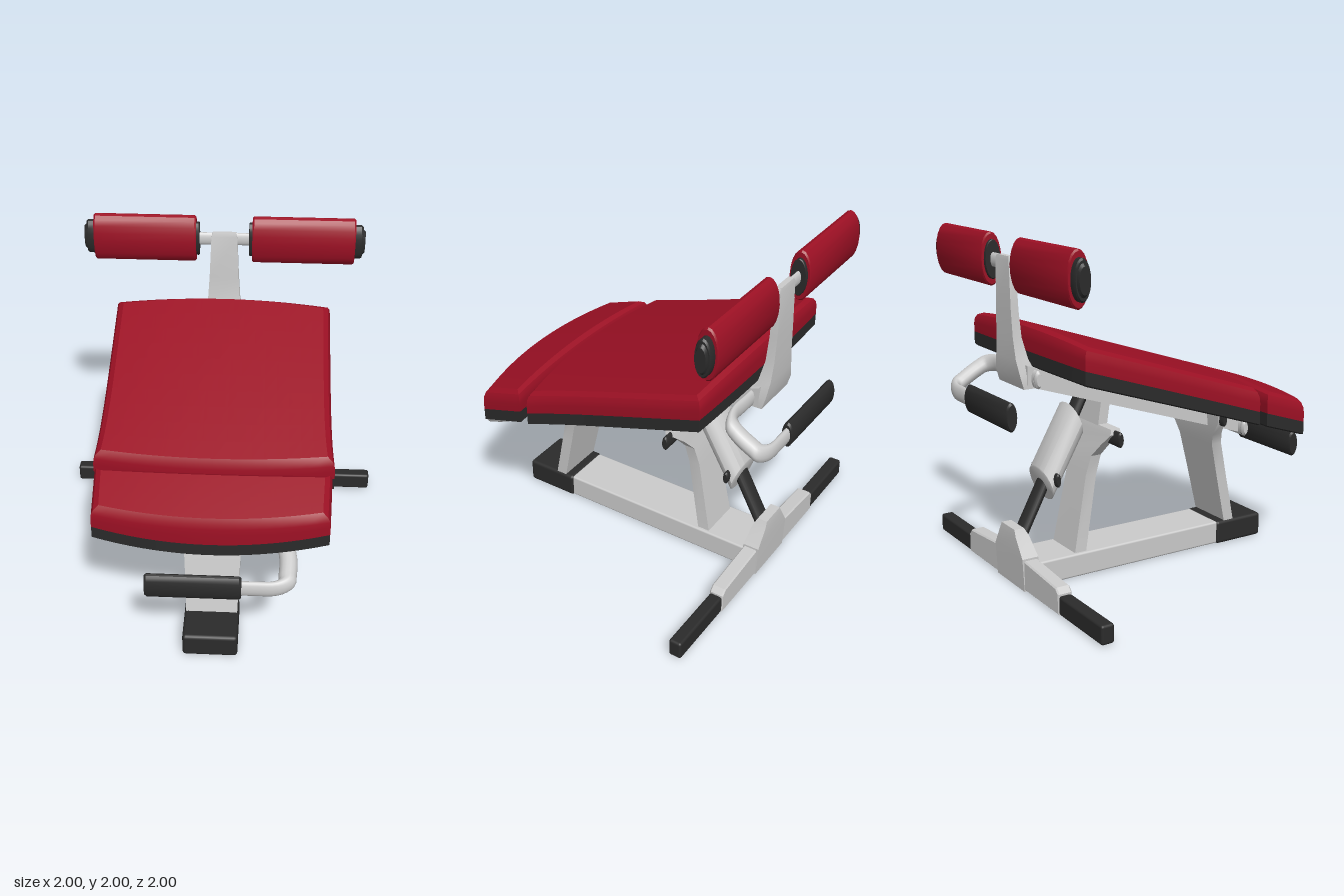
import * as THREE from 'three';
import { toCreasedNormals } from 'three/addons/utils/BufferGeometryUtils.js';
import { RoundedBoxGeometry } from 'three/addons/geometries/RoundedBoxGeometry.js';

const steel = new THREE.MeshStandardMaterial({ color: 0xcccccc });
const black = new THREE.MeshStandardMaterial({ color: 0x2b2b2b });
const red = new THREE.MeshStandardMaterial({ color: 0x9c1024 });

const SQUASH = 0.43; // round parts are narrower along z
const seatLine = (z) => 0.89 + (0.49 - z) * 0.325; // underside of the pads

export function createModel() {
  const model = new THREE.Group();

  const add = (name, geometry, material) => {
    const mesh = new THREE.Mesh(geometry, material);
    mesh.name = name;
    model.add(mesh);
    return mesh;
  };

  // Move every vertex by a rule, then rebuild the normals with sharp edges
  const reshape = (geometry, rule, crease = 0.5) => {
    const p = geometry.attributes.position;
    for (let i = 0; i < p.count; i++) p.setXYZ(i, ...rule(p.getX(i), p.getY(i), p.getZ(i)));
    return toCreasedNormals(geometry, crease);
  };

  const block = (name, material, x0, x1, y0, y1, z0, z1, r = 0.012) => {
    const g = new RoundedBoxGeometry(x1 - x0, y1 - y0, z1 - z0, 2, r);
    add(name, g, material).position.set((x0 + x1) / 2, (y0 + y1) / 2, (z0 + z1) / 2);
  };

  // Rectangular sections stacked upward: [y, half width, front z, back z]
  const loft = (name, rows) => {
    const n = rows.length - 1;
    const g = new THREE.BoxGeometry(2, n, 1, 1, n, 1);
    add(name, reshape(g, (x, y, z) => {
      const [h, w, zf, zb] = rows[Math.round(y + n / 2)];
      return [x * w, h, z > 0 ? zf : zb];
    }), steel);
  };

  // Round bar between two points with chamfered ends, squashed along z
  const bar = (name, material, a, b, r, chamfer = 0) => {
    const A = new THREE.Vector3(a[0], a[1], a[2] / SQUASH);
    const B = new THREE.Vector3(b[0], b[1], b[2] / SQUASH);
    const dir = B.clone().sub(A);
    const L = dir.length();
    const c = chamfer;
    const outline = [[0, 0], [r - c, 0], [r, c], [r, L - c], [r - c, L], [0, L]];
    const g = new THREE.LatheGeometry(outline.map(([x, y]) => new THREE.Vector2(x, y)), 20);
    g.applyQuaternion(new THREE.Quaternion().setFromUnitVectors(new THREE.Vector3(0, 1, 0), dir.normalize()));
    g.translate(A.x, A.y, A.z);
    g.scale(1, 1, SQUASH);
    add(name, toCreasedNormals(g, 0.5), material);
  };

  // Base beam with its front cap
  block('baseBeam', steel, -0.15, 0.15, 0.01, 0.15, -0.78, 0.54);
  block('baseFrontCap', black, -0.16, 0.16, 0.005, 0.152, 0.53, 0.87, 0.02);

  // Rear cross foot, thicker toward the middle
  const foot = new THREE.Shape([
    [-0.56, 0.01], [0.56, 0.01], [0.56, 0.13], [0.53, 0.16], [0.15, 0.19],
    [-0.15, 0.19], [-0.53, 0.16], [-0.56, 0.13],
  ].map(([x, y]) => new THREE.Vector2(x, y)));
  const footGeometry = new THREE.ExtrudeGeometry(foot, {
    depth: 0.07, bevelSize: 0.008, bevelThickness: 0.008, bevelOffset: -0.008, bevelSegments: 1,
  });
  add('rearFoot', footGeometry, steel).position.z = -0.815;
  block('leftFootCap', black, 0.55, 1, 0.01, 0.12, -0.818, -0.74, 0.015);
  block('rightFootCap', black, -1, -0.55, 0.01, 0.12, -0.818, -0.74, 0.015);
  loft('rearFootBracket', [
    [0.005, 0.17, -0.728, -0.825], [0.2, 0.17, -0.735, -0.835],
    [0.31, 0.1, -0.755, -0.838], [0.35, 0.08, -0.775, -0.835],
  ]);

  // Legs, flaring into a fork at the pivots
  loft('frontLeg', [
    [0.14, 0.15, 0.66, 0.59], [0.45, 0.16, 0.59, 0.52], [0.67, 0.17, 0.54, 0.47],
    [0.74, 0.2, 0.52, 0.455], [0.82, 0.26, 0.495, 0.445], [0.88, 0.27, 0.48, 0.44],
  ]);
  loft('rearLeg', [
    [0.14, 0.13, -0.4, -0.475], [0.6, 0.11, -0.315, -0.385], [0.72, 0.13, -0.295, -0.36],
    [0.8, 0.2, -0.275, -0.335], [0.87, 0.28, -0.255, -0.32], [0.9, 0.27, -0.25, -0.31],
  ]);
  loft('rearLegHead', [[0.84, 0.13, -0.26, -0.32], [1.04, 0.13, -0.23, -0.29]]);
  bar('frontPivot', black, [-0.3, 0.85, 0.47], [0.3, 0.85, 0.47], 0.042, 0.01);
  bar('rearPivot', black, [-0.34, 0.85, -0.285], [0.34, 0.85, -0.285], 0.045, 0.01);

  // Inclined seat beam
  const beam = new THREE.BoxGeometry(0.31, 0.115, 1.49);
  add('seatBeam', reshape(beam, (x, y, z) => [x, seatLine(z - 0.025) + y - 0.056, z - 0.025]), steel);

  // Pads: curved front and back edges, domed top with rounded rim
  const pad = (name, material, h0, h1, front, back, width, soft) => {
    const g = new THREE.BoxGeometry(2, 1, 1, 18, 4, 10);
    const inset = soft ? [0, 0, 0.004, 0.016, 0.045] : [0.012, 0, 0, 0, 0];
    const level = soft ? [0, 0.4, 0.65, 0.84, 1] : [0, 0.1, 0.4, 0.7, 1];
    add(name, reshape(g, (u, y, v) => {
      const k = Math.round((y + 0.5) * 4);
      const t = v + 0.5;
      const zf = front(u) - inset[k] * 0.5;
      const zb = back(u) + inset[k];
      const z = zb + (zf - zb) * t;
      const h = h0 + (h1 - h0) * level[k] - (soft ? 0.03 * u * u * level[k] : 0);
      return [u * (width(t) - inset[k]), seatLine(z) + h, z];
    }, 0.45), material);
  };
  const pads = [
    ['seatPad', (u) => 0.49 - 0.065 * u * u, (u) => -0.72 + 0.02 * u * u, (t) => 0.66 + 0.02 * t ** 6],
    ['frontPad', (u) => 0.86 - 0.085 * u * u, (u) => 0.525 - 0.035 * u * u, (t) => 0.665 - 0.012 * t],
  ];
  for (const [name, front, back, width] of pads) {
    pad(name, red, 0.08, 0.24, front, back, width, true);
    pad(name + 'Base', black, 0, 0.08, front, back, width, false);
  }

  // Looped handles with one-sided grips
  const handle = (name, [yo, zo], [yi, zi]) => {
    const mix = (x, k) => new THREE.Vector3(x, yo + (yi - yo) * k, (zo + (zi - zo) * k) / SQUASH);
    const path = new THREE.CatmullRomCurve3([
      mix(0.1, 0), mix(0.25, 0), mix(0.36, 0.015), mix(0.42, 0.12), mix(0.43, 0.3),
      mix(0.43, 0.7), mix(0.41, 0.9), mix(0.34, 1), mix(0.2, 1), mix(-0.18, 1),
    ]);
    const g = new THREE.TubeGeometry(path, 60, 0.05, 14);
    g.scale(1, 1, SQUASH);
    add(name + 'Tube', g, steel);
    bar(name + 'TubeEnd', steel, [-0.21, yi, zi], [-0.17, yi, zi], 0.051, 0.015);
    bar(name + 'Grip', black, [-0.35, yo, zo], [0.18, yo, zo], 0.08, 0.012);
  };
  handle('frontHandle', [0.64, 0.965], [0.745, 0.7]);
  handle('rearHandle', [1.08, -0.965], [1.225, -0.725]);

  // Damper between the seat beam and the rear foot
  bar('damperRod', black, [0, 1.08, -0.335], [0, 0.26, -0.77], 0.055);
  bar('damperBody', steel, [0, 0.925, -0.415], [0, 0.568, -0.618], 0.13, 0.008);
  bar('damperBolt', black, [-0.16, 0.615, -0.587], [0.16, 0.615, -0.587], 0.04, 0.01);

  // Rear post carrying the rollers
  loft('rollerPost', [
    [1.17, 0.15, -0.7, -0.79], [1.24, 0.15, -0.705, -0.81], [1.33, 0.12, -0.745, -0.82],
    [1.45, 0.1, -0.772, -0.825], [1.6, 0.09, -0.782, -0.828], [1.87, 0.078, -0.787, -0.828],
    [1.89, 0.07, -0.792, -0.824],
  ]);
  const axleY = 1.85;
  const axleZ = -0.808;
  bar('rollerAxle', steel, [-0.2, axleY, axleZ], [0.2, axleY, axleZ], 0.04);
  for (const [side, s] of [['left', 1], ['right', -1]]) {
    const part = (name, material, x0, x1, r, c) =>
      bar(side + name, material, [s * x0, axleY, axleZ], [s * x1, axleY, axleZ], r, c);
    part('Roller', red, 0.17, 0.79, 0.15, 0.01);
    part('RollerInnerCap', black, 0.15, 0.2, 0.11, 0.005);
    part('RollerOuterCap', black, 0.76, 0.835, 0.11, 0.01);
    part('RollerEndPlug', black, 0.8, 0.85, 0.085, 0.015);
  }

  return model;
}
